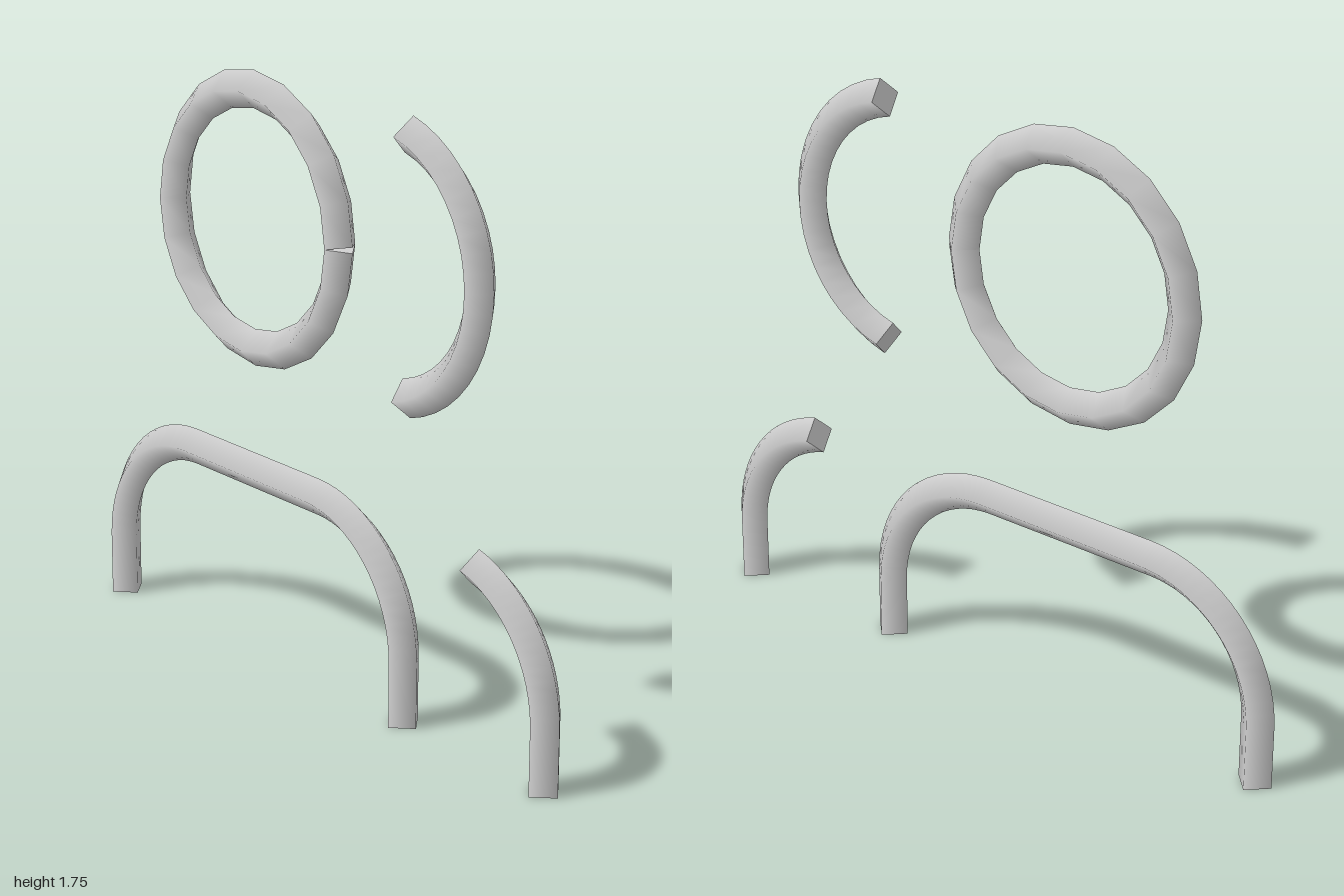
import * as THREE from 'three';

const R = 0.055;  // half-width of the diamond section

// Points along a circular arc, angles in degrees
function arc(cx, cy, radius, from, to, steps) {
  return Array.from({ length: steps + 1 }, (_, i) => {
    const a = THREE.MathUtils.degToRad(from + (to - from) * i / steps);
    return new THREE.Vector2(cx + radius * Math.cos(a), cy + radius * Math.sin(a));
  });
}

// Sweep a four-sided section with smooth normals along a flat path, with flat end caps
function sweep(path) {
  const pos = [], nor = [], idx = [];
  const last = path.length - 1;
  const corners = [[1, 0], [0, 1], [-1, 0], [0, -1]];
  const tangents = path.map((p, i) =>
    path[Math.min(i + 1, last)].clone().sub(path[Math.max(i - 1, 0)]).normalize());
  const add = (i, [u, v], normal) => {
    const t = tangents[i];
    const d = [-t.y * u, t.x * u, v];
    pos.push(path[i].x + d[0] * R, path[i].y + d[1] * R, d[2] * R);
    nor.push(...(normal || d));
  };
  path.forEach((p, i) => corners.forEach(c => add(i, c)));
  for (let i = 0; i < last; i++) {
    for (let j = 0; j < 4; j++) {
      const a = i * 4 + j, b = i * 4 + (j + 1) % 4;
      idx.push(a, b, a + 4, b, b + 4, a + 4);
    }
  }
  // End caps
  for (const [i, s] of [[0, -1], [last, 1]]) {
    const n = [tangents[i].x * s, tangents[i].y * s, 0];
    const k = pos.length / 3;
    corners.forEach(c => add(i, c, n));
    if (s > 0) idx.push(k, k + 1, k + 2, k, k + 2, k + 3);
    else idx.push(k, k + 2, k + 1, k, k + 3, k + 2);
  }
  const g = new THREE.BufferGeometry();
  g.setAttribute('position', new THREE.Float32BufferAttribute(pos, 3));
  g.setAttribute('normal', new THREE.Float32BufferAttribute(nor, 3));
  g.setIndex(idx);
  return g;
}

export function createModel() {
  const group = new THREE.Group();
  const grey = new THREE.MeshStandardMaterial({ color: 0xd4d4d4 });
  grey.name = 'light grey';
  const v = (x, y) => new THREE.Vector2(x, y);

  const parts = {
    // Nearly closed ring with a slit on one side
    ring: arc(-0.284, 1.321, 0.377, 0, 360, 20),
    // Open bow beside the ring
    bow: arc(0.285, 1.321, 0.376, -76, 76, 20),
    // Two legs joined by rounded corners and a straight top
    arch: [v(0.375, 0), ...arc(0, 0.193, 0.375, 0, 90, 16),
      ...arc(-0.57, 0.193, 0.375, 90, 180, 16), v(-0.945, 0)],
    // Single leg ending in a bend
    hook: [v(0.945, 0), ...arc(0.57, 0.193, 0.375, 0, 76, 16)],
  };
  for (const [name, path] of Object.entries(parts)) {
    const mesh = new THREE.Mesh(sweep(path), grey);
    mesh.name = name;
    group.add(mesh);
  }
  return group;
}
